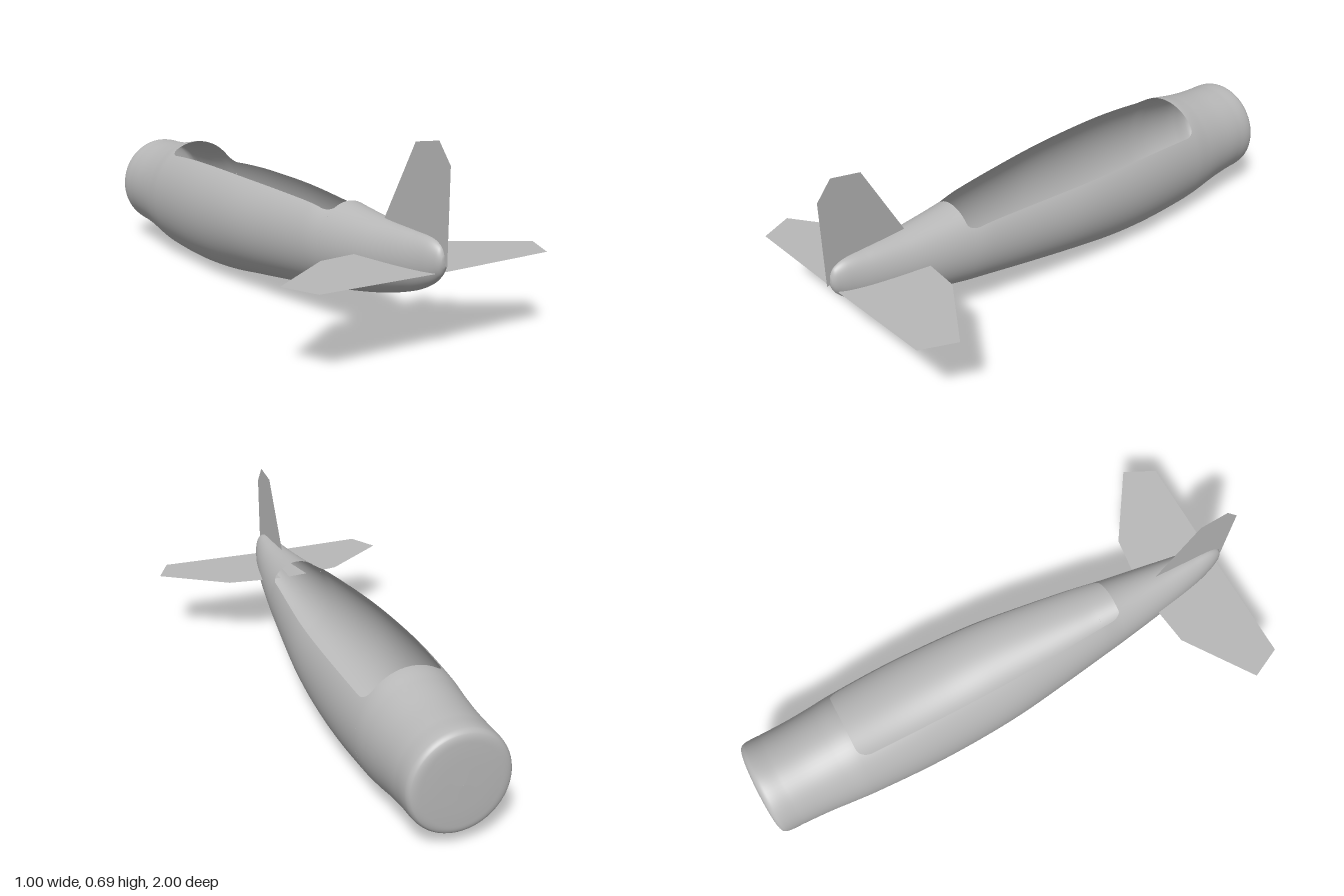
import * as THREE from 'three';

// Fuselage stations from nose to tail: [z, top, bottom, half width]
const STATIONS = [
  [-1, 0.243, 0.241, 0.001], [-0.997, 0.38, 0.1, 0.13], [-0.99, 0.415, 0.068, 0.17],
  [-0.97, 0.428, 0.056, 0.182], [-0.9, 0.431, 0.051, 0.184], [-0.8, 0.438, 0.038, 0.187],
  [-0.7, 0.453, 0.018, 0.194], [-0.62, 0.468, 0.008, 0.2], [-0.4, 0.483, 0.002, 0.208],
  [-0.2, 0.481, 0.013, 0.206], [0, 0.471, 0.04, 0.195], [0.2, 0.457, 0.067, 0.17],
  [0.4, 0.438, 0.096, 0.141], [0.49, 0.42, 0.11, 0.127], [0.7, 0.399, 0.153, 0.093],
  [0.85, 0.392, 0.198, 0.064], [0.93, 0.387, 0.237, 0.042], [0.97, 0.37, 0.272, 0.025],
  [0.985, 0.345, 0.3, 0.012], [0.988, 0.322, 0.32, 0.001],
];
const HOLE_FRONT = 7, HOLE_BACK = 13; // stations bounding the cockpit opening
const KNOTS = [0];
for (let i = 1; i < STATIONS.length; i++) {
  const d = STATIONS[i].map((v, k) => v - STATIONS[i - 1][k]);
  KNOTS.push(KNOTS[i - 1] + Math.hypot(...d));
}

// Smooth interpolation between stations; u counts stations
function section(u) {
  const last = STATIONS.length - 1;
  const i = Math.min(Math.floor(u), last - 1), t = u - i;
  const tangent = (n, k) => {
    const a = Math.max(n - 1, 0), b = Math.min(n + 1, last);
    return (STATIONS[b][k] - STATIONS[a][k]) / (KNOTS[b] - KNOTS[a]);
  };
  const h = KNOTS[i + 1] - KNOTS[i], t2 = t * t, t3 = t2 * t;
  return [0, 1, 2, 3].map((k) =>
    (2 * t3 - 3 * t2 + 1) * STATIONS[i][k] + (t3 - 2 * t2 + t) * h * tangent(i, k) +
    (3 * t2 - 2 * t3) * STATIONS[i + 1][k] + (t3 - t2) * h * tangent(i + 1, k));
}

// Elliptical hull point; the angle runs from the top towards +x
function hullPoint(u, angle) {
  const [z, top, bottom, w] = section(u);
  return new THREE.Vector3(w * Math.sin(angle),
    (top + bottom) / 2 + (top - bottom) / 2 * Math.cos(angle), z);
}

// Skin between the given rings; range(u) gives the first and last angle of a ring
function skin(rings, range) {
  const pos = [], nor = [], index = [], N = 64, e = 0.002, end = STATIONS.length - 1;
  rings.forEach((u, i) => {
    const [a0, a1] = range(u);
    for (let j = 0; j <= N; j++) {
      const a = a0 + (a1 - a0) * j / N;
      const du = hullPoint(Math.min(u + e, end), a).sub(hullPoint(Math.max(u - e, 0), a));
      const da = hullPoint(u, a + e).sub(hullPoint(u, a - e));
      pos.push(...hullPoint(u, a).toArray());
      nor.push(...du.cross(da).normalize().toArray());
      if (i && j) {
        const q = i * (N + 1) + j, p = q - N - 1;
        index.push(p - 1, q - 1, p, p, q - 1, q);
      }
    }
  });
  const g = new THREE.BufferGeometry();
  g.setAttribute('position', new THREE.Float32BufferAttribute(pos, 3));
  g.setAttribute('normal', new THREE.Float32BufferAttribute(nor, 3));
  g.setIndex(index);
  return g;
}

function steps(from, to, count, ease = (t) => t) {
  return Array.from({ length: count + 1 }, (_, i) => from + (to - from) * ease(i / count));
}

// Flat plate from outline points in 3D
function plate(points) {
  const outline = points.map((p) => new THREE.Vector2(p[0], p[1]));
  return new THREE.ShapeGeometry(new THREE.Shape(outline));
}

export function createModel() {
  const model = new THREE.Group();
  model.name = 'aircraftFuselage';
  const grey = new THREE.MeshStandardMaterial({ color: 0xb8b8b8, side: THREE.DoubleSide });
  grey.name = 'light grey';
  const add = (name, geometry) => {
    const mesh = new THREE.Mesh(geometry, grey);
    mesh.name = name;
    model.add(mesh);
    return mesh;
  };

  // Closed nose and tail shells
  const full = () => [0, Math.PI * 2];
  add('nose', skin(steps(0, HOLE_FRONT, HOLE_FRONT * 6), full));
  const last = STATIONS.length - 1;
  add('tailCone', skin(steps(HOLE_BACK, last, (last - HOLE_BACK) * 8), full));

  // Middle shell, open at the top with rounded corners, wider on the left
  const zFront = STATIONS[HOLE_FRONT][0], zBack = STATIONS[HOLE_BACK][0];
  const openRange = (u) => {
    const z = section(u)[0];
    const t = Math.min(1, Math.max(0, 1 - Math.min(z - zFront, zBack - z) / 0.05));
    const corner = 0.2 * (1 - Math.sqrt(1 - t * t));
    return [0.98 - corner, Math.PI * 2 - 0.655 + corner];
  };
  const ease = (t) => (1 - Math.cos(Math.PI * t)) / 2;
  add('cockpitShell', skin(steps(HOLE_FRONT, HOLE_BACK, 80, ease), openRange));

  // Upright fin, drawn as (z, y) and turned into the middle plane
  const fin = plate([[1, 0.31], [1, 0.62], [0.945, 0.688], [0.835, 0.67], [0.69, 0.405], [0.68, 0.37]]);
  fin.rotateY(-Math.PI / 2);
  add('fin', fin);

  // Tailplanes, drawn as (x, z) and laid flat with a slight rise to the tips
  for (const side of [1, -1]) {
    const half = plate([[0.02, 0.655], [0.1, 0.66], [0.24, 0.677], [0.5, 0.853], [0.443, 0.973], [0.02, 0.973]]
      .map(([x, z]) => [x * side, -z]));
    half.rotateX(-Math.PI / 2);
    half.rotateZ(side * 0.01);
    half.translate(0, 0.286, 0);
    add(side > 0 ? 'leftTailplane' : 'rightTailplane', half);
  }
  return model;
}
